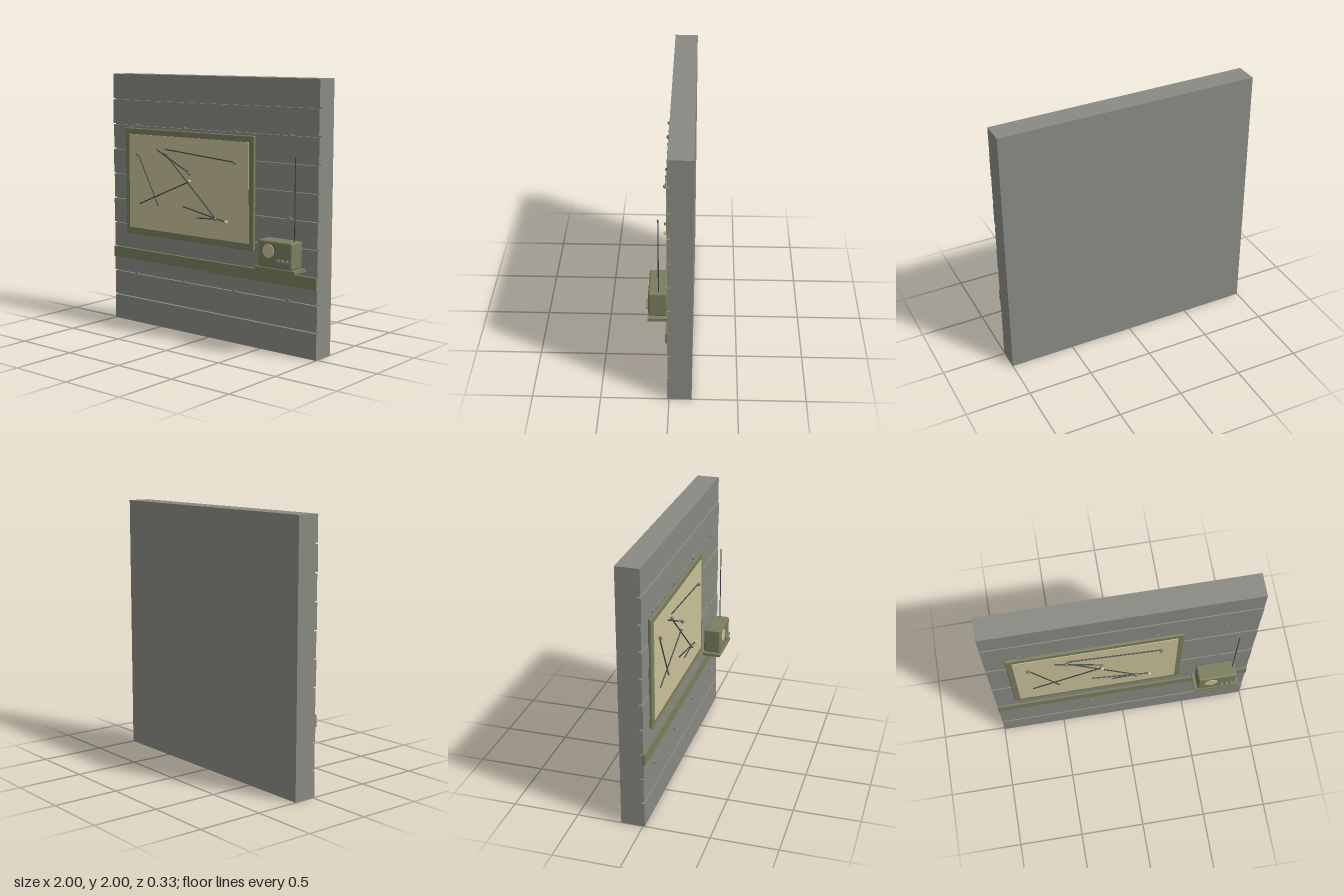
import * as THREE from 'three';
import { RoundedBoxGeometry } from 'three/addons/geometries/RoundedBoxGeometry.js';

const mat = (name, color) => {
  const m = new THREE.MeshStandardMaterial({ color });
  m.name = name;
  return m;
};

export function createModel() {
  const wallGrey = mat('wallGrey', 0x8a8a84);
  const olive = mat('olive', 0x7a7e5d);
  const tan = mat('tan', 0xcbc298);
  const dark = mat('darkMetal', 0x43474a);
  const steel = mat('steel', 0x85878a);

  const root = new THREE.Group();
  root.name = 'panelWall';
  const add = (name, geometry, material, parent = root) => {
    const mesh = new THREE.Mesh(geometry, material);
    mesh.name = name;
    parent.add(mesh);
    return mesh;
  };
  const group = (name) => {
    const g = new THREE.Group();
    g.name = name;
    root.add(g);
    return g;
  };
  // Box given by its limits, with optional rounded edges
  const box = (name, x0, x1, y0, y1, z0, z1, material, parent, r = 0) => {
    const s = [x1 - x0, y1 - y0, z1 - z0];
    const g = r ? new RoundedBoxGeometry(...s, 2, r) : new THREE.BoxGeometry(...s);
    g.translate((x0 + x1) / 2, (y0 + y1) / 2, (z0 + z1) / 2);
    return add(name, g, material, parent);
  };
  // Disc or knob facing forward
  const disc = (name, x, y, z, r, depth, material, parent, sides = 20) => {
    const g = new THREE.CylinderGeometry(r, r, depth, sides).rotateX(Math.PI / 2);
    return add(name, g.translate(x, y, z), material, parent);
  };

  // Backing slab and ten planks separated by grooves
  const wall = group('wall');
  box('slab', -1, 1, 0, 2, -0.165, -0.012, wallGrey, wall);
  for (let i = 0; i < 10; i++) {
    const front = i % 2 ? 0.01 : 0.014;
    box('plank', -1, 1, i * 0.2 + (i ? 0.005 : 0), i * 0.2 + (i === 9 ? 0.2 : 0.195), -0.012, front, wallGrey, wall);
  }
  for (const y of [0.4, 1.0, 1.6])
    for (const x of [-0.75, -0.25, 0.25, 0.75])
      disc('rivet', x, y, 0.008, 0.018, 0.024, wallGrey, wall, 10);

  // Painted rail across the wall
  box('rail', -1, 1, 0.515, 0.6, 0, 0.025, olive);

  // Notice board
  const board = group('noticeBoard');
  box('boardFrame', -0.85, 0.445, 0.73, 1.577, 0.008, 0.034, olive, board, 0.008);
  box('boardPanel', -0.803, 0.4, 0.78, 1.53, 0.03, 0.039, tan, board);

  // Strings stretched between pins
  const strings = [
    [-0.7, 1.375, -0.49, 0.98], [-0.69, 0.98, -0.16, 1.2], [-0.5, 1.42, -0.16, 1.26],
    [-0.41, 1.43, 0.28, 1.375], [-0.42, 1.4, 0.095, 0.935], [-0.235, 1.0, 0.2, 0.92],
    [-0.09, 0.925, 0.1, 0.935],
  ];
  for (const [x0, y0, x1, y1] of strings) {
    const g = new THREE.CylinderGeometry(0.005, 0.005, Math.hypot(x1 - x0, y1 - y0), 6);
    const mesh = add('string', g, dark, board);
    mesh.position.set((x0 + x1) / 2, (y0 + y1) / 2, 0.044);
    mesh.rotation.z = Math.atan2(y1 - y0, x1 - x0) - Math.PI / 2;
  }
  const pins = [
    [-0.7, 1.375, olive], [-0.42, 1.4, olive], [-0.163, 1.26, olive], [0.28, 1.375, olive],
    [0.095, 0.935, olive], [-0.16, 1.2, tan], [0.2, 0.922, tan],
  ];
  for (const [x, y, m] of pins)
    add('pin', new THREE.SphereGeometry(0.014, 12, 8), m, board).position.set(x, y, 0.051);

  // Radio on a small shelf
  const radio = group('radio');
  box('shelf', 0.55, 0.9, 0.632, 0.655, 0, 0.155, olive, radio);
  box('radioBody', 0.573, 0.873, 0.655, 0.853, 0.015, 0.15, olive, radio, 0.014);
  disc('dial', 0.672, 0.778, 0.151, 0.05, 0.008, tan, radio, 24);
  for (const x of [0.758, 0.797, 0.836])
    disc('knob', x, 0.715, 0.155, 0.013, 0.02, steel, radio, 12);
  const antenna = add('antenna', new THREE.CylinderGeometry(0.004, 0.004, 0.61, 8), dark, radio);
  antenna.position.set(0.847, 1.147, 0.077);

  return root;
}
